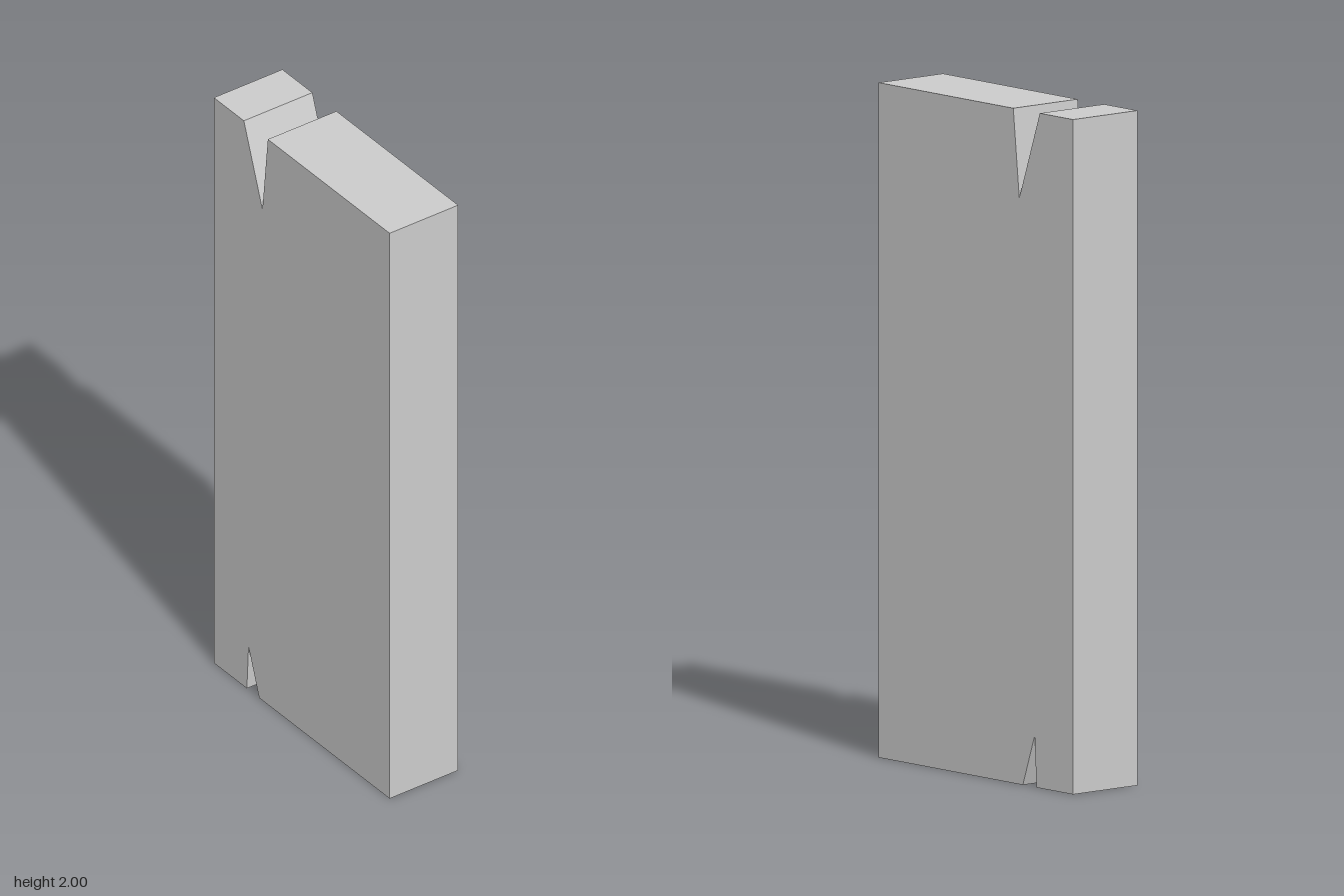
import * as THREE from 'three';

const WIDTH = 0.248;
const HALF_DEPTH = 0.436;
const HEIGHT = 2;

// Side profile as [z, y], with a V-notch in the bottom and the top edge
const bottomNotch = [[-0.272, 0], [-0.264, 0.153], [-0.211, 0]];
const topNotch = [[-0.168, HEIGHT], [-0.195, 1.737], [-0.287, HEIGHT]];
const profile = [
  [-HALF_DEPTH, 0], ...bottomNotch, [HALF_DEPTH, 0],
  [HALF_DEPTH, HEIGHT], ...topNotch, [-HALF_DEPTH, HEIGHT],
];

export function createModel() {
  const group = new THREE.Group();
  group.name = 'notchedSlab';

  // Slab: profile extruded across the width, then turned so it runs along z
  const shape = new THREE.Shape(profile.map(([z, y]) => new THREE.Vector2(z, y)));
  const geometry = new THREE.ExtrudeGeometry(shape, { depth: WIDTH, bevelEnabled: false });
  geometry.translate(0, 0, -WIDTH / 2);
  geometry.rotateY(-Math.PI / 2);

  const material = new THREE.MeshStandardMaterial({ color: 0xcccccc, flatShading: true });
  const slab = new THREE.Mesh(geometry, material);
  slab.name = 'slab';
  group.add(slab);
  return group;
}
